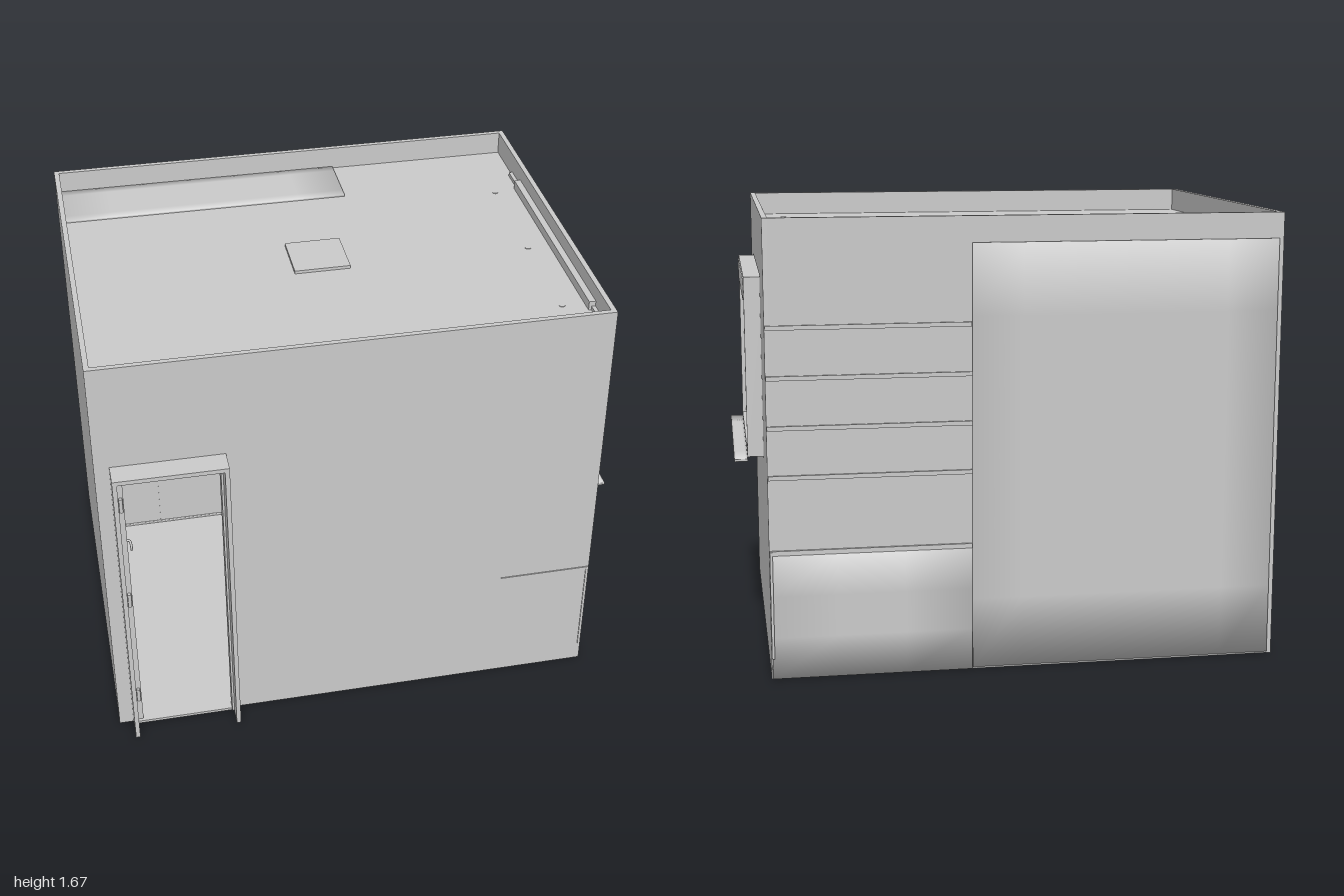
import * as THREE from 'three';

const grey = new THREE.MeshStandardMaterial({ color: 0xcccccc, side: THREE.DoubleSide });

export function createModel() {
  const room = new THREE.Group();
  room.name = 'room';

  function add(name, geometry, parent = room) {
    const mesh = new THREE.Mesh(geometry, grey);
    mesh.name = name;
    parent.add(mesh);
    return mesh;
  }
  function group(name) {
    const g = new THREE.Group();
    g.name = name;
    room.add(g);
    return g;
  }
  // Box given by its lower and upper limits on each axis
  function box(name, x0, x1, y0, y1, z0, z1, parent, seg = 1) {
    const g = new THREE.BoxGeometry(x1 - x0, y1 - y0, z1 - z0, seg, seg, seg);
    g.translate((x0 + x1) / 2, (y0 + y1) / 2, (z0 + z1) / 2);
    return add(name, g, parent);
  }
  // Same box, with normals that blend around its edges
  function softBox(name, x0, x1, y0, y1, z0, z1, parent, seg = 6) {
    const mesh = box(name, x0, x1, y0, y1, z0, z1, parent, seg);
    const p = mesh.geometry.attributes.position, n = mesh.geometry.attributes.normal;
    const side = (v, a, b) => (Math.abs(v - a) < 1e-5 ? -1 : Math.abs(v - b) < 1e-5 ? 1 : 0);
    const v = new THREE.Vector3();
    for (let i = 0; i < p.count; i++) {
      v.set(side(p.getX(i), x0, x1), side(p.getY(i), y0, y1), side(p.getZ(i), z0, z1)).normalize();
      n.setXYZ(i, v.x, v.y, v.z);
    }
    return mesh;
  }
  const rect = (T, a, b, c, d) => {
    const s = new T();
    s.moveTo(a, c); s.lineTo(b, c); s.lineTo(b, d); s.lineTo(a, d); s.closePath();
    return s;
  };
  const wall = (shape) => new THREE.ExtrudeGeometry(shape, { depth: 0.02, bevelEnabled: false });
  const H = 1.675;

  // Shell: walls rise above the ceiling as a thin rim
  box('leftWall', -1, -0.98, 0, H, -0.775, 0.7);
  box('backWall', -0.98, 0.87, 0, H, -0.775, -0.755);
  const front = new THREE.Shape();
  [[-0.98, 0], [-0.935, 0], [-0.935, 1.25], [-0.54, 1.25], [-0.54, 0], [0.87, 0], [0.87, H], [-0.98, H]]
    .forEach(([x, y], i) => (i ? front.lineTo(x, y) : front.moveTo(x, y)));
  add('frontWall', wall(front)).position.z = 0.68;
  // Shape x becomes -z
  const right = rect(THREE.Shape, -0.7, 0.775, 0, H);
  right.holes.push(rect(THREE.Path, -0.5, 0.385, 0.73, 1.437));
  const rightWall = add('rightWall', wall(right));
  rightWall.rotation.y = Math.PI / 2;
  rightWall.position.x = 0.87;
  box('floor', -0.98, 0.87, 0.004, 0.012, -0.755, 0.68);
  box('ceiling', -0.98, 0.87, 1.565, 1.585, -0.755, 0.68);
  box('ceilingHatch', -0.16, 0.055, 1.555, 1.597, -0.15, 0.065);
  box('curtainRecess', 0.845, 0.87, 1.545, 1.62, -0.43, 0.53);
  box('curtainRecessEnd', 0.855, 0.87, 1.545, 1.6, -0.54, 0.64);
  for (const z of [-0.41, 0.05, 0.48]) {
    const lamp = add('spotlight', new THREE.CylinderGeometry(0.012, 0.012, 0.035, 16));
    lamp.position.set(0.76, 1.57, z);
  }

  // Door frame, open leaf, hinges and handle
  const door = group('door');
  box('doorJambLeft', -0.945, -0.928, 0, 1.26, 0.67, 0.79, door);
  box('doorJambRight', -0.547, -0.53, 0, 1.26, 0.67, 0.79, door);
  box('doorHead', -0.928, -0.547, 1.243, 1.26, 0.67, 0.79, door);
  box('doorStopRight', -0.555, -0.547, 0.01, 1.243, 0.69, 0.73, door);
  box('doorStopTop', -0.928, -0.547, 1.235, 1.243, 0.69, 0.73, door);
  box('threshold', -0.93, -0.545, 0.004, 0.015, 0.68, 0.72, door);
  box('doorLeaf', -0.926, -0.906, 0.018, 1.235, 0.34, 0.71, door);
  for (const y of [0.16, 0.65, 1.1]) {
    const hinge = add('hinge', new THREE.CylinderGeometry(0.007, 0.007, 0.06, 12), door);
    hinge.position.set(-0.917, y, 0.72);
  }
  for (const s of [-1, 1]) {
    const x = -0.916 + s * 0.012;
    box('handlePlate', x - 0.003, x + 0.003, 0.58, 0.69, 0.375, 0.395, door);
    const lever = new THREE.CatmullRomCurve3([
      new THREE.Vector3(x, 0.66, 0.385), new THREE.Vector3(x + s * 0.02, 0.66, 0.387),
      new THREE.Vector3(x + s * 0.024, 0.66, 0.41), new THREE.Vector3(x + s * 0.024, 0.66, 0.445)]);
    add('handleLever', new THREE.TubeGeometry(lever, 16, 0.005, 8), door);
  }

  // Window: outer frame, two sashes with blinds, roller box and sill
  const win = group('window');
  box('windowBottomRail', 0.875, 0.95, 0.745, 0.76, -0.375, 0.485, win);
  box('windowTopRail', 0.875, 0.95, 1.415, 1.428, -0.375, 0.485, win);
  box('windowJambRear', 0.875, 0.95, 0.745, 1.428, -0.375, -0.36, win);
  box('windowJambFront', 0.875, 0.95, 0.745, 1.428, 0.47, 0.485, win);
  softBox('rollerBox', 0.89, 0.953, 1.34, 1.416, -0.36, 0.47, win);
  softBox('windowSill', 0.95, 1, 0.73, 0.74, -0.388, 0.5, win);
  [[-0.36, 0.062, 0.905], [0.05, 0.47, 0.925]].forEach(([z0, z1, x]) => {
    const t = 0.024;
    box('sashBottom', x - 0.01, x + 0.01, 0.76, 0.778, z0, z1, win);
    box('sashTop', x - 0.01, x + 0.01, 1.322, 1.34, z0, z1, win);
    box('sashStileRear', x - 0.01, x + 0.01, 0.76, 1.34, z0, z0 + t, win);
    box('sashStileFront', x - 0.01, x + 0.01, 0.76, 1.34, z1 - t, z1, win);
    for (let i = 0; i < 14; i++) {
      const slat = add('blindSlat', new THREE.BoxGeometry(0.02, 0.002, z1 - z0 - 0.05), win);
      slat.position.set(0.882, 1.08 + i * 0.0185, (z0 + z1) / 2);
      slat.rotation.z = 0.35;
    }
    box('blindBottomBar', 0.873, 0.891, 1.064, 1.073, z0 + t, z1 - t, win);
    for (const z of [z0 + 0.05, z1 - 0.05])
      box('blindCord', 0.881, 0.883, 1.07, 1.33, z - 0.001, z + 0.001, win);
  });
  box('windowHandle', 0.914, 0.93, 1.02, 1.055, 0.03, 0.04, win);

  // Wardrobe: carcass, four columns of doors and staggered open niches
  const wardrobe = group('wardrobe');
  const X0 = -0.982, W = 0.283, zFront = -0.5;
  softBox('wardrobeBack', X0, 0.15, 0.008, 1.58, -0.781, -0.745, wardrobe);
  softBox('wardrobeTop', X0, 0.15, 1.572, 1.592, -0.76, zFront, wardrobe);
  softBox('wardrobeBase', X0, 0.15, 0.001, 0.022, -0.778, zFront, wardrobe);
  for (let c = 0; c <= 4; c++) {
    const x = X0 + c * W, a = c === 0 ? 0 : c === 4 ? -0.012 : -0.006;
    box('wardrobeUpright', x + a, x + a + 0.012, 0.02, 1.575, -0.75, zFront - 0.002, wardrobe);
  }
  for (let c = 0; c < 4; c++) {
    const levels = c % 2 ? [0.022, 0.47, 0.82, 1.07, 1.572] : [0.022, 0.33, 0.69, 0.94, 1.572];
    const x = X0 + c * W;
    for (let i = 0; i < 4; i++) {
      if (i !== 2) box('wardrobeDoor', x + 0.004, x + W - 0.004, levels[i] + 0.003, levels[i + 1] - 0.003, zFront - 0.015, zFront, wardrobe);
    }
    for (const y of [levels[2], levels[3]])
      box('nicheShelf', x, x + W, y - 0.006, y + 0.006, -0.75, zFront - 0.002, wardrobe);
  }

  // Niche ornaments
  const swan = group('swanOrnament');
  swan.position.set(-0.83, 0.696, -0.6);
  const neck = [[0, 0.02], [0.022, 0.04], [0.015, 0.065], [-0.012, 0.085], [-0.01, 0.12], [0.008, 0.135], [0.022, 0.122]];
  add('swanNeck', new THREE.TubeGeometry(new THREE.CatmullRomCurve3(
    neck.map(([x, y]) => new THREE.Vector3(x, y, 0))), 32, 0.008, 10), swan);
  const body = add('swanBody', new THREE.SphereGeometry(0.03, 20, 12), swan);
  body.scale.set(1, 0.8, 0.6);
  body.position.y = 0.03;
  add('swanBase', new THREE.CylinderGeometry(0.03, 0.034, 0.012, 24), swan).position.y = 0.006;
  const figure = add('vaseOrnament', new THREE.LatheGeometry(
    [[0, 0], [0.03, 0], [0.04, 0.04], [0.032, 0.08], [0.014, 0.11], [0.024, 0.14], [0.02, 0.165], [0, 0.172]]
      .map(([x, y]) => new THREE.Vector2(x, y)), 24));
  figure.position.set(-0.555, 0.826, -0.6);

  // Low cabinet and shelves along the back wall
  const storage = group('backStorage');
  softBox('lowCabinet', 0.152, 0.885, 0.002, 0.465, -0.781, -0.53, storage, 3);
  box('cabinetTop', 0.152, 0.888, 0.465, 0.482, -0.784, -0.5, storage);
  for (let i = 0; i < 3; i++) {
    const x = 0.156 + i * 0.243;
    box('cabinetDoor', x, x + 0.237, 0.04, 0.455, -0.53, -0.518, storage);
  }
  for (const y of [0.75, 0.93, 1.11, 1.29])
    box('wallShelf', 0.152, 0.888, y - 0.008, y + 0.008, -0.783, -0.6, storage);
  // Books standing on the cabinet
  [0.13, 0.15, 0.12, 0.14, 0.125].forEach((h, i) =>
    box('book', 0.35 + i * 0.026, 0.373 + i * 0.026, 0.482, 0.482 + h, -0.67, -0.55, storage));

  // Desk under the window, running the length of the right wall
  const desk = group('desk');
  box('deskTop', 0.53, 0.888, 0.48, 0.492, -0.5, 0.704, desk);
  box('deskBackPanel', 0.878, 0.888, 0.08, 0.48, -0.788, 0.704, desk);
  box('deskEndPanel', 0.56, 0.87, 0.012, 0.48, 0.65, 0.668, desk);

  return room;
}
